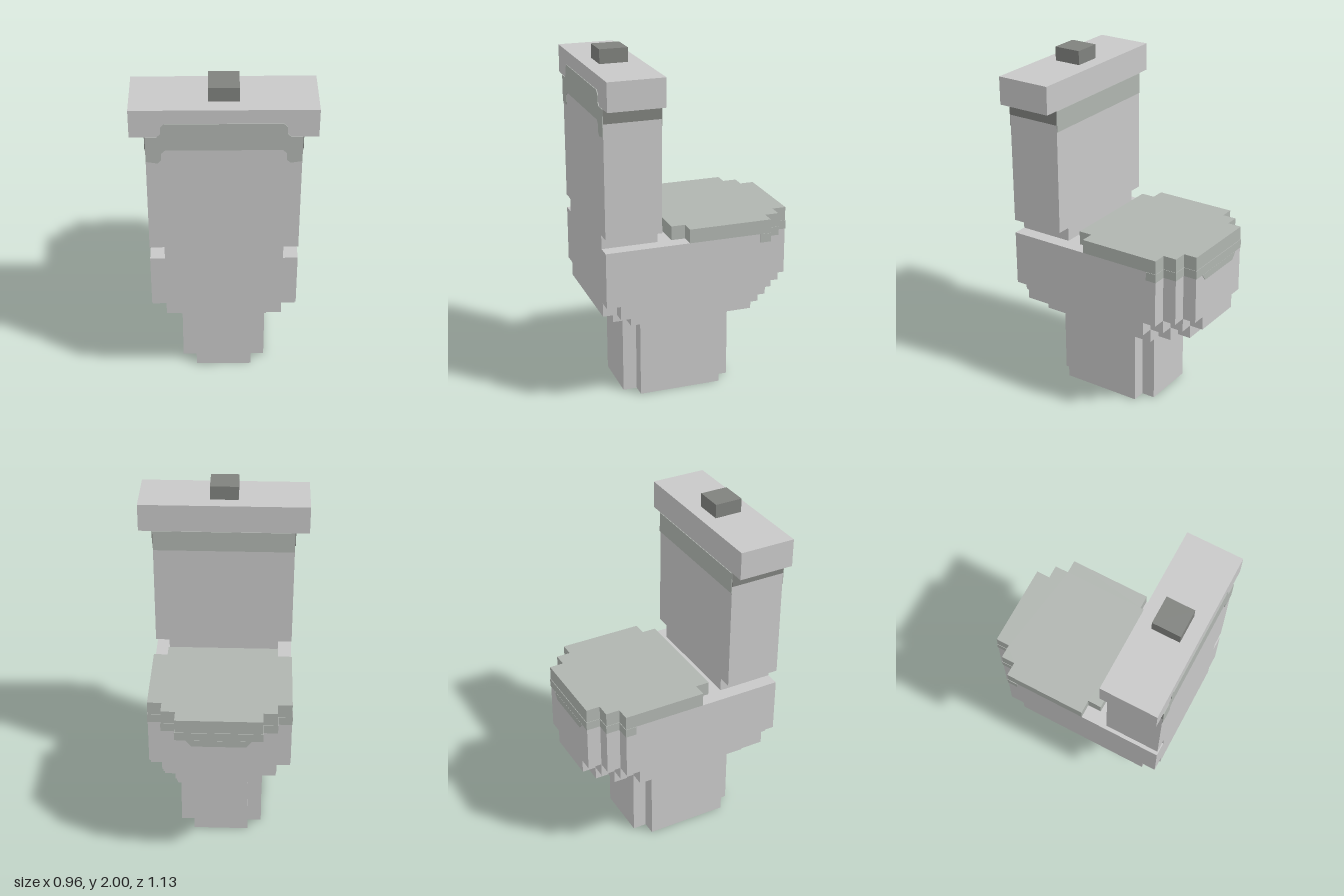
import * as THREE from 'three';

const material = (name, color) => {
  const m = new THREE.MeshStandardMaterial({ color });
  m.name = name;
  return m;
};

export function createModel() {
  const group = new THREE.Group();
  const ceramic = material('ceramic', 0xc8c8c8);
  const sage = material('sage grey', 0xb0b5b0);
  const dark = material('dark grey', 0x80827e);

  const add = (name, geometry, mat) => {
    const mesh = new THREE.Mesh(geometry, mat);
    mesh.name = name;
    group.add(mesh);
    return mesh;
  };

  // Shape mirrored about its vertical axis, from the points of its right half
  const mirrored = (half) => new THREE.Shape([
    ...half.map(([x, y]) => new THREE.Vector2(x, y)),
    ...half.slice().reverse().map(([x, y]) => new THREE.Vector2(-x, y)),
  ]);

  // Horizontal slab: half outline given as [x, z], running from y0 to y1
  const slab = (name, mat, y0, y1, half) => {
    const geo = new THREE.ExtrudeGeometry(mirrored(half.map(([x, z]) => [x, -z])),
      { depth: y1 - y0, bevelEnabled: false });
    geo.rotateX(-Math.PI / 2).translate(0, y0, 0);
    return add(name, geo, mat);
  };

  // Thin painted plate on a wall: half outline given as [x, y]
  const plate = (name, mat, z, half, facingBack = false) => {
    const geo = new THREE.ExtrudeGeometry(mirrored(half), { depth: 0.004, bevelEnabled: false });
    if (facingBack) geo.rotateY(Math.PI);
    geo.translate(0, 0, z);
    return add(name, geo, mat);
  };

  // Pedestal with notched corners
  slab('pedestal', ceramic, 0, 0.48, [
    [0.16, 0.4], [0.16, 0.32], [0.24, 0.32], [0.24, -0.16], [0.16, -0.16], [0.16, -0.24]]);

  // Bowl, widening in stepped layers
  slab('bowlUnderside', ceramic, 0.48, 0.56, [
    [0.24, 0.48], [0.24, 0.4], [0.32, 0.4], [0.32, -0.32],
    [0.24, -0.32], [0.24, -0.4], [0.16, -0.4], [0.16, -0.48]]);
  slab('bowlLower', ceramic, 0.56, 0.64, [
    [0.32, 0.56], [0.32, 0.48], [0.4, 0.48], [0.4, -0.32], [0.32, -0.32],
    [0.32, -0.4], [0.24, -0.4], [0.24, -0.48], [0.16, -0.48], [0.16, -0.56]]);
  const rim = [[0.4, -0.4], [0.32, -0.4], [0.32, -0.48], [0.24, -0.48], [0.24, -0.56]];
  slab('bowl', ceramic, 0.64, 0.96, [[0.4, 0.56], ...rim]);

  // Seat cover and its coloured edge on the bowl
  slab('seatCover', sage, 0.96, 1.04, [[0.32, 0.16], [0.32, 0.08], [0.4, 0.08], ...rim]);
  slab('seatTint', sage, 0.91, 0.96, [[0.4, -0.34], ...rim].map(
    ([x, z], i) => [x + 0.003, i ? z - 0.003 : z]));
  plate('seatTintEnd', sage, -0.56, [[0.18, 0.91], [0.15, 0.87]], true);

  // Tank, lid and button
  slab('tankNeck', ceramic, 0.96, 1.04, [[0.32, 0.56], [0.32, 0.24]]);
  slab('tank', ceramic, 1.04, 1.76, [[0.4, 0.56], [0.4, 0.24]]);
  slab('tankLid', ceramic, 1.76, 1.92, [[0.48, 0.56], [0.48, 0.24]]);
  slab('flushButton', dark, 1.92, 2, [[0.08, 0.48], [0.08, 0.32]]);

  // Painted bands around the top of the tank
  plate('frontBand', sage, 0.56, [
    [0.3, 1.84], [0.32, 1.82], [0.32, 1.78], [0.34, 1.76], [0.4, 1.76], [0.4, 1.61],
    [0.34, 1.6], [0.32, 1.62], [0.32, 1.66], [0.3, 1.68]]);
  plate('backBand', sage, 0.24, [[0.4, 1.76], [0.4, 1.64]], true);
  for (const side of [-1, 1]) {
    add('sideBand', new THREE.BoxGeometry(0.004, 0.08, 0.32), dark)
      .position.set(side * 0.402, 1.72, 0.4);
  }
  return group;
}
